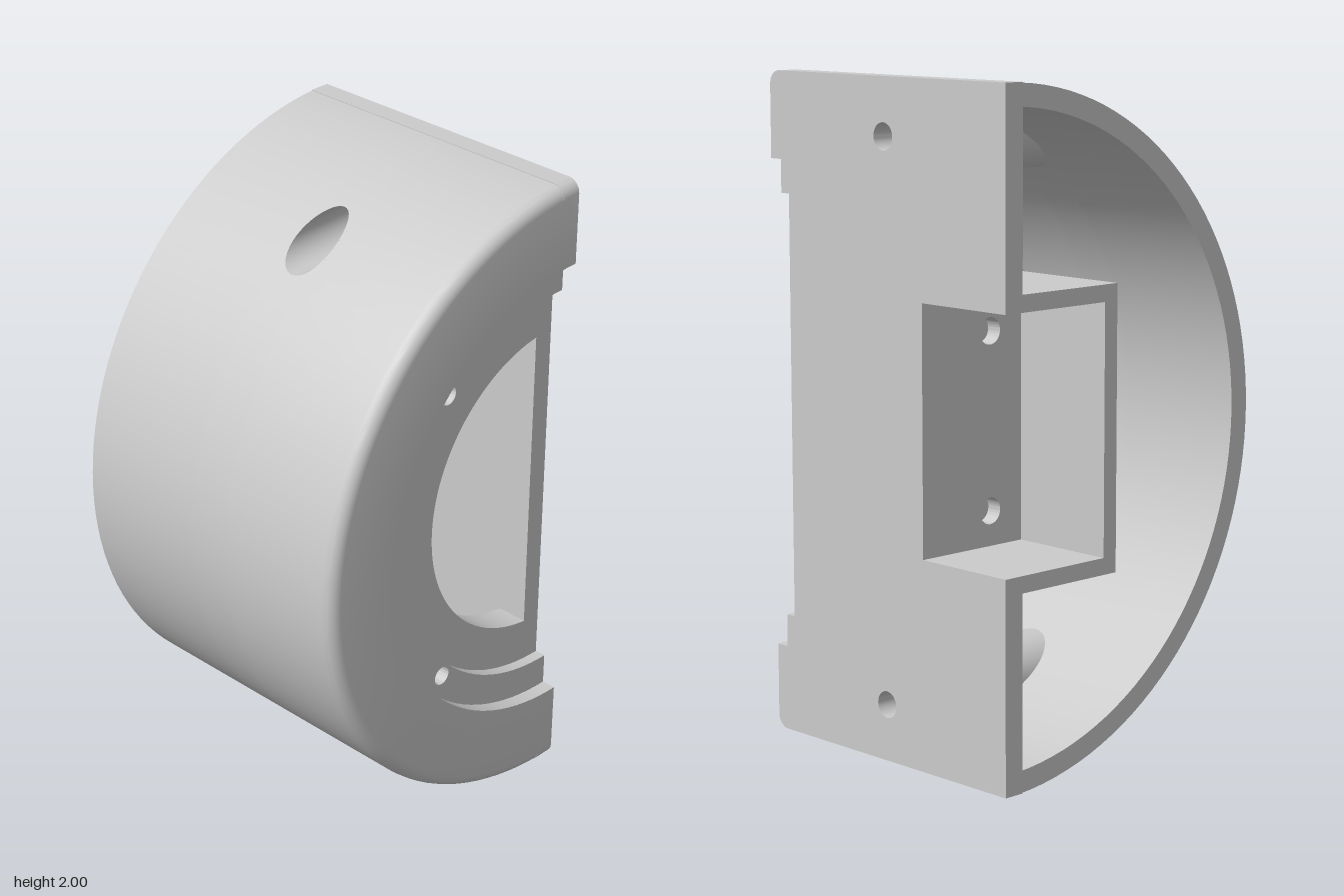
import * as THREE from 'three';
import { toCreasedNormals } from 'three/addons/utils/BufferGeometryUtils.js';
import { ParametricGeometry } from 'three/addons/geometries/ParametricGeometry.js';

const R = 1, RI = 0.935;           // shell outer and inner radius
const PLATE = 0.065;               // back plate thickness
const HY = 0.83, HR = 0.07, SR = 0.04; // screw hole height, counterbore and shank radius
const SEAT = 0.2;                  // counterbore floor
const SEG = 64;

export function createModel() {
  const model = new THREE.Group();
  model.name = 'halfRoundHousing';
  // Local frame: the cylinder axis runs along x through the origin, back plane at z = 0
  const body = new THREE.Group();
  body.name = 'body';
  body.position.set(0, 1, -0.5);
  model.add(body);
  const material = new THREE.MeshStandardMaterial({ color: 0xcccccc, side: THREE.DoubleSide });

  const add = (name, geometry) => {
    const mesh = new THREE.Mesh(toCreasedNormals(geometry, 0.5), material);
    mesh.name = name;
    body.add(mesh);
    return mesh;
  };
  const shapeOf = (pts) => new THREE.Shape(pts.map(([a, b]) => new THREE.Vector2(a, b)));
  const hole = (shape, x, y, r) => shape.holes.push(new THREE.Path().absarc(x, y, r, 0, Math.PI * 2, true));
  // Half revolution of (radius, x) points about the x axis
  const halfLathe = (pts) => new THREE.LatheGeometry(
    pts.map(([r, x]) => new THREE.Vector2(r, x)), SEG, -Math.PI / 2, Math.PI).rotateZ(-Math.PI / 2);
  // Extrusion of a (z, y) shape from x0 to x1
  const slab = (shape, x0, x1) => new THREE.ExtrudeGeometry(shape,
    { depth: x1 - x0, bevelEnabled: false, curveSegments: 32 }).rotateY(-Math.PI / 2).translate(x1, 0, 0);
  const patch = (fn, nu, nv) => new ParametricGeometry((u, v, t) => t.set(...fn(u, v)), nu, nv);

  // Rounded outer edge of the closed end
  const fillet = [];
  for (let i = 0; i <= 6; i++) {
    const a = (i / 6) * Math.PI / 2;
    fillet.push([0.96 + 0.04 * Math.cos(a), 0.46 + 0.04 * Math.sin(a)]);
  }
  add('closedEndOuter', halfLathe([[R, HR], ...fillet, [0.74, 0.5], [0.74, 0.455]]));
  add('closedEndInner', halfLathe([[0.64, 0.455], [0.64, 0.42], [0.5, 0.42], [0.5, 0.32], [RI, 0.32], [RI, HR]]));
  add('openEndShell', halfLathe([[RI, -HR], [RI, -0.5], [R, -0.5], [R, -HR]]));

  // Stepped groove floor with two blind holes
  const groove = new THREE.Shape();
  groove.absarc(0, 0, 0.74, -Math.PI / 2, Math.PI / 2, false);
  groove.absarc(0, 0, 0.64, Math.PI / 2, -Math.PI / 2, true);
  for (const s of [-1, 1]) {
    hole(groove, 0.48, 0.48 * s, 0.03);
    add('blindHoleFloor', new THREE.CircleGeometry(0.03, 24).rotateY(Math.PI / 2).translate(0.37, 0.48 * s, 0.48));
  }
  add('grooveFloor', slab(groove, 0.37, 0.455));

  // Middle band of the shell, trimmed around the two screw holes
  const bandX = (u) => -HR * Math.cos(Math.PI * u);
  const half = (x) => Math.sqrt(Math.max(0, HR * HR - x * x));
  const limits = [
    (h, r) => [-Math.PI / 2, Math.asin((-HY - h) / r)],
    (h, r) => [Math.asin((-HY + h) / r), Math.asin((HY - h) / r)],
    (h, r) => [Math.asin((HY + h) / r), Math.PI / 2],
  ];
  for (const r of [R, RI]) {
    limits.forEach((limit, i) => add('screwBand', patch((u, v) => {
      const x = bandX(u);
      const [a, b] = limit(half(x), r);
      const t = r === R ? b + (a - b) * v : a + (b - a) * v;
      return [x, r * Math.sin(t), r * Math.cos(t)];
    }, 20, i === 1 ? 48 : 16)));
  }

  // Counterbored screw bosses running from the plate to the shell
  const tube = (cy, rad, z0, shellR, out) => patch((u, v) => {
    const a = u * Math.PI * 2 * out;
    const y = cy + rad * Math.sin(a);
    const top = Math.sqrt(Math.max(shellR * shellR - y * y, z0 * z0));
    return [rad * Math.cos(a), y, z0 + (top - z0) * v];
  }, 40, 1);
  for (const s of [-1, 1]) {
    add('screwCounterbore', tube(HY * s, HR, SEAT, R, -1));
    add('screwBoss', tube(HY * s, 0.12, PLATE, RI, 1));
    add('screwSeat', new THREE.RingGeometry(SR, HR, 40).translate(0, HY * s, SEAT));
    add('screwShank', new THREE.CylinderGeometry(SR, SR, SEAT, 32, 1, true)
      .rotateX(Math.PI / 2).translate(0, HY * s, SEAT / 2));
  }

  // Back plate: stepped at the closed end, cut out for the pocket at the open end
  const edge = fillet.map(([r, x]) => [x, r]);
  const upper = [[-0.5, 0.37], [-0.5, 1], ...edge, [0.5, 0.74], [0.455, 0.74], [0.455, 0.64], [0.42, 0.64]];
  const lower = upper.map(([x, y]) => [x, -y]).reverse();
  const plate = shapeOf([...upper, ...lower, [-0.16, -0.37], [-0.16, 0.37]]);
  for (const s of [-1, 1]) hole(plate, 0, HY * s, SR);
  add('backPlate', new THREE.ExtrudeGeometry(plate, { depth: PLATE, bevelEnabled: false, curveSegments: 16 }));

  // Pocket walls, open to the back and to the open end
  add('pocketWalls', slab(shapeOf([[0.05, -0.42], [0.44, -0.42], [0.44, 0.42], [0.05, 0.42],
    [0.05, 0.37], [0.39, 0.37], [0.39, -0.37], [0.05, -0.37]]), -0.5, -0.16));
  const end = shapeOf([[0.05, -0.42], [0.44, -0.42], [0.44, 0.42], [0.05, 0.42]]);
  for (const s of [-1, 1]) hole(end, 0.265, 0.265 * s, 0.04);
  add('pocketEndWall', slab(end, -0.16, -0.11));

  return model;
}
